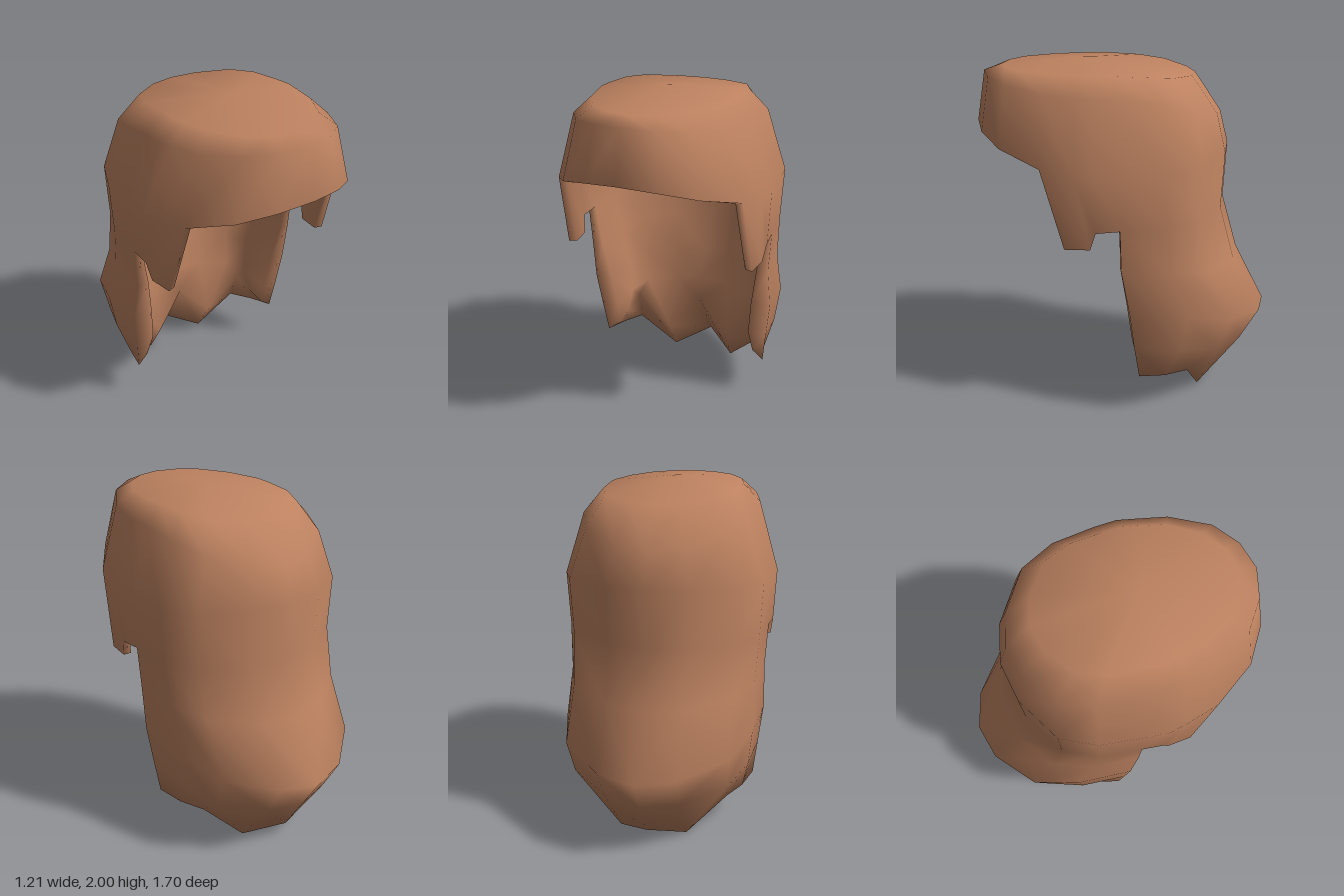
import * as THREE from 'three';

// Half of the plan outline as unit directions [x, z], from front centre round to back centre
const PLAN = [[0, 1], [0.33, 0.94], [0.63, 0.78], [0.88, 0.45], [0.96, 0.18], [1, 0.02],
  [0.985, -0.16], [0.95, -0.48], [0.8, -0.74], [0.38, -0.94], [0, -1]];

// Rings from crown to flare: heights at front, side, back; half width; centre z; reach to front, back;
// lining: width factor k, depth inset d, overall drop, lift towards the back
const RINGS = [
  { y: [2, 2, 2], w: 0, z: 0.18, f: 0, b: 0, k: 1, d: 0, drop: 0.05, lift: 0 },
  { y: [1.965, 1.96, 1.91], w: 0.39, z: 0.18, f: 0.52, b: 0.57, k: 0.92, d: 0.05, drop: 0.05, lift: 0 },
  { y: [1.93, 1.86, 1.69], w: 0.49, z: 0.18, f: 0.62, b: 0.72, k: 0.92, d: 0.05, drop: 0.03, lift: 0 },
  { y: [1.645, 1.465, 1.5], w: 0.605, z: 0.18, f: 0.67, b: 0.77, k: 0.92, d: 0.04, drop: 0.01, lift: 0 },
  { y: [1.17, 1.165, 1.17], w: 0.59, z: 0.18, f: 0.4, b: 0.755, k: 0.92, d: 0.07, drop: 0, lift: 0 },
  { y: [0.9, 0.92, 0.84], w: 0.575, z: 0.19, f: 0.4, b: 0.86, k: 0.88, d: 0.19, drop: 0, lift: 0.15 },
  { y: [0.67, 0.67, 0.49], w: 0.585, z: 0.17, f: 0.4, b: 1.02, k: 0.8, d: 0.45, drop: 0, lift: 0.3 },
  { y: [0.45, 0.45, 0.3], w: 0.56, z: 0.115, f: 0.4, b: 0.845, k: 0.8, d: 0.35, drop: 0, lift: 0.28 },
];
const HEM = RINGS.length;

// Sideburn tip and ear notch (columns 3 to 5 of ring 4)
const SIDEBURN = [[0.56, 1.06, 0.36], [0.575, 1.06, 0.22], [0.59, 1.16, 0.19]];
// Jagged lower hem (columns 6 to 10), outside and lining
const HEM_OUT = [[0.53, 0.25, -0.05], [0.49, 0.23, -0.2], [0.42, 0.22, -0.34], [0.2, 0, -0.43], [0, 0.08, -0.59]];
const HEM_IN = [[0.46, 0.3, -0.06], [0.43, 0.36, -0.15], [0.39, 0.44, -0.24], [0.2, 0.2, -0.31], [0, 0.42, -0.35]];

// First column filled in each band between rings: whole cap, then sideburn, then back hair
const START = [0, 0, 0, 3, 6, 6, 6, 6];
const COLS = 20;
const half = (j) => (j <= 10 ? j : COLS - j);

function halfPoint(r, c, inner) {
  if (r === HEM) return (inner ? HEM_IN : HEM_OUT)[Math.max(0, c - 6)];
  const g = RINGS[r], [ux, uz] = PLAN[c], s = uz * uz;
  let x = g.w * ux;
  let z = g.z + uz * (uz > 0 ? g.f : g.b);
  let y = g.y[1] + (g.y[uz > 0 ? 0 : 2] - g.y[1]) * s;
  if (r === 4 && c >= 3 && c <= 5) [x, y, z] = SIDEBURN[c - 3];
  if (inner) {
    x *= g.k;
    y += g.lift * s - g.drop;
    z -= Math.sign(uz) * g.d * s;
  }
  return [x, y, z];
}

// Outer skin, lining and the edge between them, as one closed smooth surface
function hairGeometry() {
  const pos = [], idx = [];
  for (const inner of [false, true]) {
    for (let r = 0; r <= HEM; r++) {
      for (let j = 0; j < COLS; j++) {
        const [x, y, z] = halfPoint(r, half(j), inner);
        pos.push(j <= 10 ? x : -x, y, z);
      }
    }
  }
  const layer = (HEM + 1) * COLS;
  // All crown points of a layer share one vertex
  const id = (r, j, inner) => (inner ? layer : 0) + (r === 0 ? 0 : r * COLS + (j % COLS));
  const tri = (a, b, c, flip) => {
    if (a !== b && b !== c && a !== c) idx.push(...(flip ? [a, c, b] : [a, b, c]));
  };

  for (const inner of [false, true]) {
    for (let r = 0; r < HEM; r++) {
      for (let j = 0; j < COLS; j++) {
        if (Math.min(half(j), half(j + 1)) < START[r]) continue;
        const a = id(r, j, inner), b = id(r + 1, j, inner);
        const c = id(r + 1, j + 1, inner), d = id(r, j + 1, inner);
        // Mirror the diagonal so both sides match
        if (j < 10) { tri(a, b, c, inner); tri(a, c, d, inner); }
        else { tri(a, b, d, inner); tri(b, c, d, inner); }
      }
    }
  }

  // Edge along brim, sideburn, ear notch, back panel and hem, as [ring, column]
  const path = [[3, 0], [3, 1], [3, 2], [3, 3], [4, 3], [4, 4], [4, 5], [4, 6], [5, 6], [6, 6], [7, 6],
    [8, 6], [8, 7], [8, 8], [8, 9], [8, 10]];
  const loop = [...path, ...path.slice(1, -1).reverse().map(([r, c]) => [r, COLS - c])];
  loop.forEach((p, i) => {
    const q = loop[(i + 1) % loop.length];
    tri(id(...p, false), id(...p, true), id(...q, true), false);
    tri(id(...p, false), id(...q, true), id(...q, false), false);
  });

  const geo = new THREE.BufferGeometry();
  geo.setAttribute('position', new THREE.Float32BufferAttribute(pos, 3));
  geo.setIndex(idx);
  geo.computeVertexNormals();
  return geo.toNonIndexed();
}

export function createModel() {
  const group = new THREE.Group();
  group.name = 'longHair';
  const brown = new THREE.MeshStandardMaterial({ color: 0xbd8260 });
  brown.name = 'warm brown';
  const hair = new THREE.Mesh(hairGeometry(), brown);
  hair.name = 'hair';
  group.add(hair);
  return group;
}
